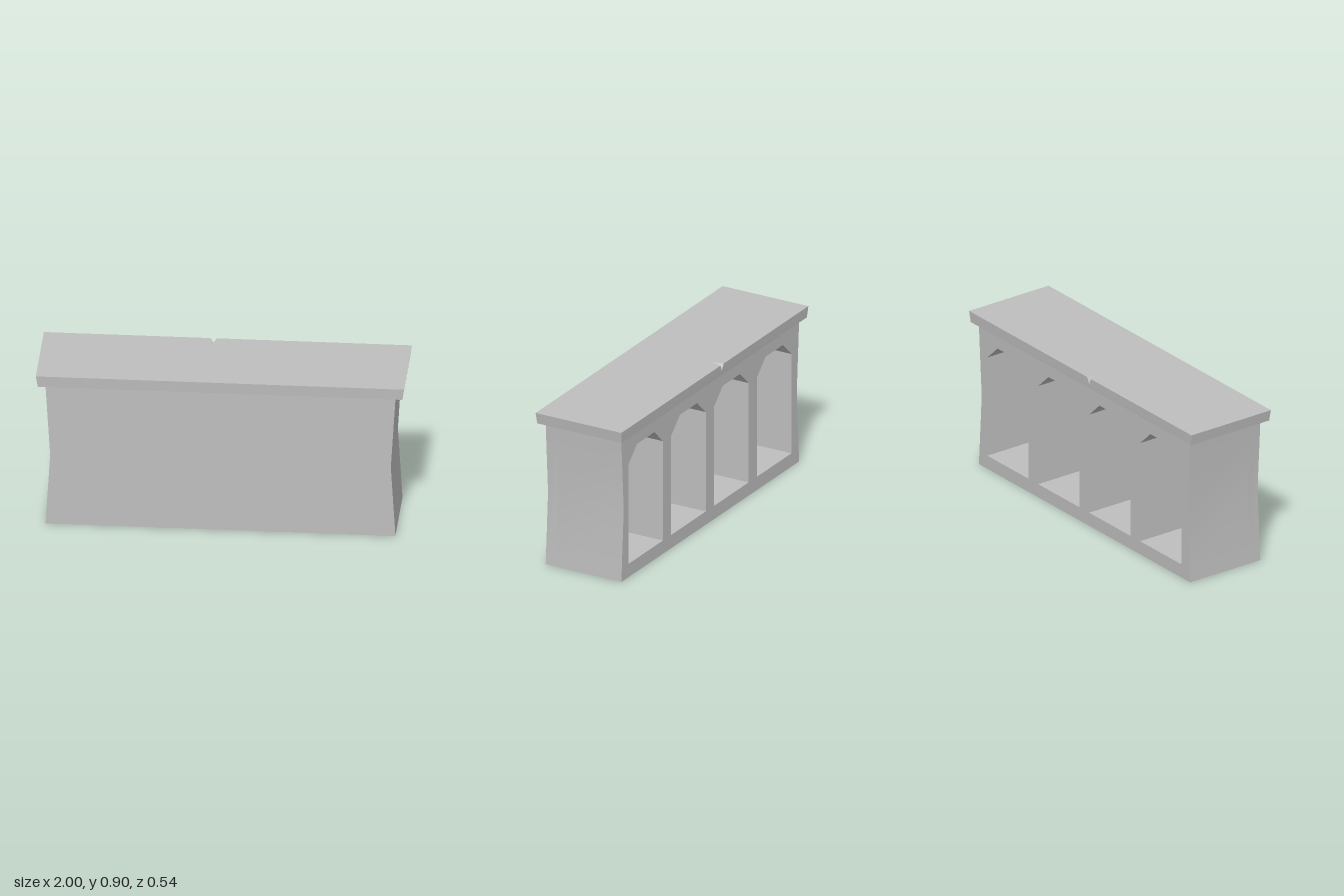
import * as THREE from 'three';
import { toCreasedNormals } from 'three/addons/utils/BufferGeometryUtils.js';

const stone = new THREE.MeshStandardMaterial({ color: 0xbebebe });
stone.name = 'grey stone';

const BACK = -0.24, NICHE_END = 0.17, FRONT = 0.235, BODY_TOP = 0.825;

// Body outline with slightly pinched ends
function bodyOutline() {
  return new THREE.Shape([
    [-0.95, 0], [0.95, 0], [0.925, 0.415], [0.95, BODY_TOP], [-0.95, BODY_TOP], [-0.925, 0.415],
  ].map(([x, y]) => new THREE.Vector2(x, y)));
}

// Niche opening with a three-sided arch
function nicheHole(cx) {
  return new THREE.Path([
    [-0.185, 0.078], [-0.185, 0.664], [-0.092, 0.752], [0.092, 0.752], [0.185, 0.664], [0.185, 0.078],
  ].map(([x, y]) => new THREE.Vector2(cx + x, y)));
}

function slice(name, shape, z0, z1) {
  const geo = new THREE.ExtrudeGeometry(shape, { depth: z1 - z0, bevelEnabled: false });
  geo.translate(0, 0, z0);
  const mesh = new THREE.Mesh(toCreasedNormals(geo, 0.785), stone);
  mesh.name = name;
  return mesh;
}

// Top slab: stacked rectangles with a chip cut from the rear edge
function topSlab() {
  const pos = [];
  const fan = (...p) => {
    for (let i = 1; i < p.length - 1; i++) pos.push(...p[0], ...p[i], ...p[i + 1]);
  };
  const ring = (x, y, zf, zb) => [[x, y, zf], [x, y, zb], [-x, y, zb], [-x, y, zf]];
  const low = ring(0.95, BODY_TOP, FRONT, BACK);
  const mid = ring(0.99, 0.84, 0.265, -0.265);
  const top = ring(1, 0.904, 0.269, -0.269);

  // Chip corners: right, left, inner tip and lower tip
  const R = [-0.06, 0.904, -0.269], L = [-0.095, 0.904, -0.269];
  const T = [-0.078, 0.904, -0.205], B = [-0.078, 0.868, -0.267];

  fan(...[...low].reverse());
  for (let i = 0; i < 4; i++) {
    const j = (i + 1) % 4;
    fan(low[i], low[j], mid[j], mid[i]);
    if (i !== 1) fan(mid[i], mid[j], top[j], top[i]);
  }
  fan(B, R, top[1], mid[1], mid[2], top[2], L);
  fan(T, L, top[2], top[3], top[0], top[1], R);
  fan(T, R, B);
  fan(T, B, L);

  const geo = new THREE.BufferGeometry();
  geo.setAttribute('position', new THREE.Float32BufferAttribute(pos, 3));
  geo.computeVertexNormals();
  const mesh = new THREE.Mesh(geo, stone);
  mesh.name = 'topSlab';
  return mesh;
}

export function createModel() {
  const group = new THREE.Group();
  group.name = 'counter';

  // Rear section with four shelves open to the back
  const shelves = bodyOutline();
  for (let i = 0; i < 4; i++) shelves.holes.push(nicheHole((i - 1.5) * 0.458 + 0.003));
  group.add(slice('nicheBlock', shelves, BACK, NICHE_END));

  // Closed front wall
  group.add(slice('frontPanel', bodyOutline(), NICHE_END, FRONT));

  group.add(topSlab());
  return group;
}
